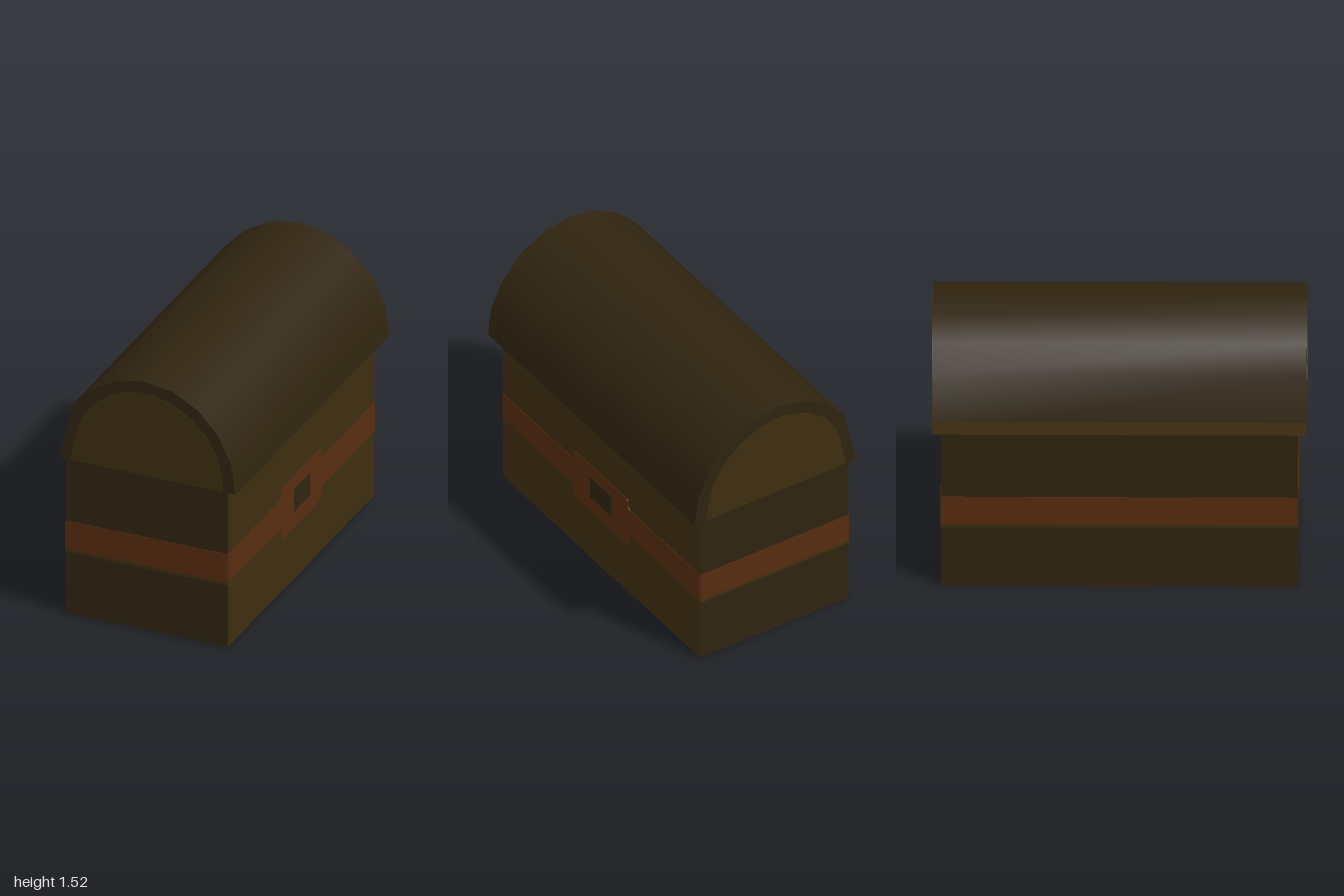
import * as THREE from 'three';
import { toCreasedNormals } from 'three/addons/utils/BufferGeometryUtils.js';

const material = (name, color) => {
  const m = new THREE.MeshStandardMaterial({ color });
  m.name = name;
  return m;
};

const shapeFrom = (points) => new THREE.Shape(points.map(([x, y]) => new THREE.Vector2(x, y)));

export function createModel() {
  const dark = material('dark wood', 0x302410);
  const mid = material('light wood', 0x3e2e10);
  const rust = material('rust band', 0x572c10);
  const chest = new THREE.Group();
  chest.name = 'chest';
  const T = 0.003; // thickness of painted plates

  const add = (name, geometry, mat, x = 0, y = 0, z = 0) => {
    const mesh = new THREE.Mesh(geometry, mat);
    mesh.name = name;
    mesh.position.set(x, y, z);
    chest.add(mesh);
    return mesh;
  };
  // Box given by its minimum and maximum corners
  const block = (name, mat, [x0, y0, z0], [x1, y1, z1]) =>
    add(name, new THREE.BoxGeometry(x1 - x0, y1 - y0, z1 - z0), mat,
      (x0 + x1) / 2, (y0 + y1) / 2, (z0 + z1) / 2);
  const extrude = (points, depth) =>
    new THREE.ExtrudeGeometry(shapeFrom(points), { depth, bevelEnabled: false });

  // Body: the lock side is lighter than the rest
  const L = -0.5, R = 0.45, Z = 0.95;
  block('body', [mid, dark, dark, dark, dark, dark], [L, T, -Z], [R, 0.96, Z]);

  // Bands on both ends, with a thin light line below
  for (const s of [1, -1]) {
    const z0 = s > 0 ? Z : -Z - T;
    block('endBand', rust, [L, 0.39, z0], [R, 0.56, z0 + T]);
    block('endLine', mid, [L, 0.372, z0], [R, 0.39, z0 + T]);
  }
  // Bands on the plain long side and underneath
  block('backBand', rust, [L - T, 0.39, -Z], [L, 0.56, Z]);
  block('backLine', mid, [L - T, 0.372, -Z], [L, 0.39, Z]);
  block('bottomBand', rust, [L, 0, -0.16], [R, T, 0.17]);

  // Band on the lock side, widening into the lock plate
  const lock = extrude([
    [-Z, 0.39], [-0.275, 0.39], [-0.26, 0.375], [-0.26, 0.325], [-0.25, 0.315],
    [0.25, 0.315], [0.26, 0.325], [0.26, 0.375], [0.275, 0.39], [Z, 0.39],
    [Z, 0.56], [0.275, 0.56], [0.26, 0.575], [0.26, 0.61], [0.25, 0.622],
    [-0.25, 0.622], [-0.26, 0.61], [-0.26, 0.575], [-0.275, 0.56], [-Z, 0.56],
  ], T);
  add('lockBand', lock, rust, R).rotation.y = Math.PI / 2;
  block('keyhole', dark, [R + T, 0.41, -0.1], [R + 2 * T, 0.545, 0.1]);

  // Domed lid overhanging the body
  const lidProfile = [
    [0.515, 0.955], [0.49, 1.13], [0.415, 1.285], [0.295, 1.415], [0.15, 1.495],
    [-0.015, 1.522], [-0.175, 1.495], [-0.32, 1.415], [-0.44, 1.29], [-0.515, 0.96],
  ];
  const lidHalf = 1 - T;
  add('lid', toCreasedNormals(extrude(lidProfile, 2 * lidHalf), 0.7), dark, 0, 0, -lidHalf);

  // Light rounded panels on the lid ends
  const panel = [
    [-0.45, 0.96], [0.44, 0.956], [0.435, 1.04], [0.41, 1.15], [0.36, 1.245], [0.29, 1.325],
    [0.2, 1.39], [0.11, 1.43], [0.03, 1.447], [-0.06, 1.447], [-0.14, 1.43], [-0.23, 1.39],
    [-0.32, 1.32], [-0.38, 1.235], [-0.41, 1.15],
  ];
  for (const z of [lidHalf, -1]) add('lidEndPanel', extrude(panel, T), mid, 0, 0, z);

  // Light strip along the lower edge of the lid, on the plain side
  const strip = extrude([
    [-0.515, 0.96], [-0.499, 1.03], [-0.501, 1.031], [-0.517, 0.96],
  ], 2 * lidHalf);
  add('lidEdgeStrip', strip, mid, 0, 0, -lidHalf);

  return chest;
}
